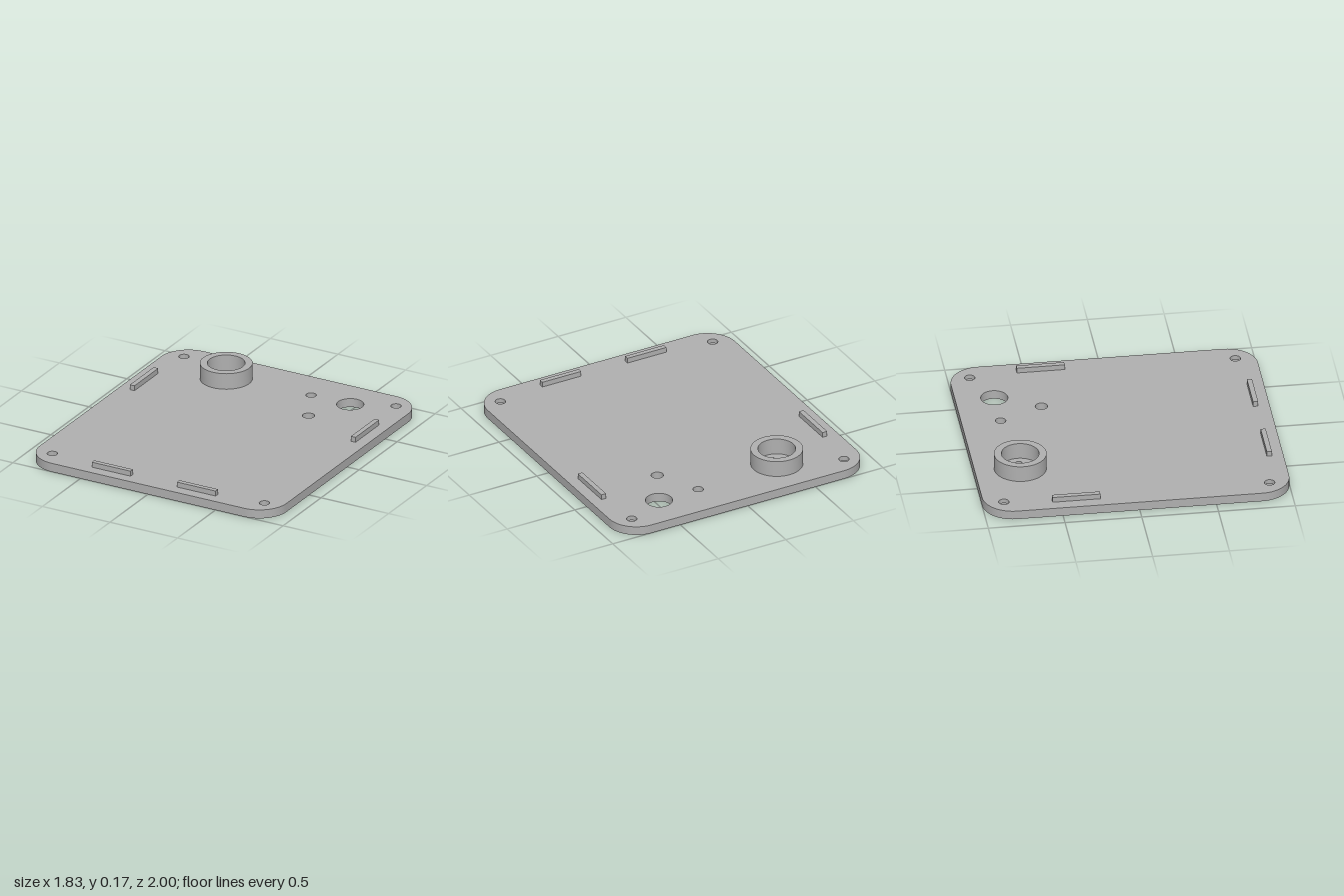
import * as THREE from 'three';
import { toCreasedNormals } from 'three/addons/utils/BufferGeometryUtils.js';

const THICK = 0.06, W = 0.913, L = 1, R = 0.2;

export function createModel() {
  const group = new THREE.Group();
  const grey = new THREE.MeshStandardMaterial({ color: 0xb0b0b0 });
  grey.name = 'grey plastic';

  const add = (name, geometry, x = 0, y = 0, z = 0) => {
    const mesh = new THREE.Mesh(geometry, grey);
    mesh.name = name;
    mesh.position.set(x, y, z);
    group.add(mesh);
  };
  const lathe = (points) => toCreasedNormals(
    new THREE.LatheGeometry(points.map(([r, y]) => new THREE.Vector2(r, y)), 48), 0.6);

  // Screw holes at the corners, counterbored from below
  const screws = [];
  for (const x of [-0.785, 0.785]) for (const z of [-0.868, 0.863]) screws.push([x, z]);
  const boreR = 0.062, screwR = 0.034, boreDepth = 0.03;

  // Through holes: [x, z, radius]
  const sound = [-0.38, -0.704];
  const holes = [
    ...screws.map(([x, z]) => [x, z, boreR]),
    [0.515, -0.746, 0.088], [0.225, -0.746, 0.034], [0.367, -0.46, 0.04],
    ...[[0, 0], [1, 0], [-1, 0], [0, 1], [0, -1]].map(
      ([i, j]) => [sound[0] + i * 0.063, sound[1] + j * 0.063, 0.021]),
  ];

  // Rounded plate; shape y becomes -z
  const shape = new THREE.Shape();
  shape.absarc(W - R, L - R, R, 0, Math.PI / 2);
  shape.absarc(-W + R, L - R, R, Math.PI / 2, Math.PI);
  shape.absarc(-W + R, -L + R, R, Math.PI, Math.PI * 1.5);
  shape.absarc(W - R, -L + R, R, Math.PI * 1.5, Math.PI * 2);
  shape.closePath();
  for (const [x, z, r] of holes) {
    shape.holes.push(new THREE.Path().absarc(x, -z, r, 0, Math.PI * 2, true));
  }
  const plate = new THREE.ExtrudeGeometry(shape, { depth: THICK, bevelEnabled: false, curveSegments: 24 });
  plate.rotateX(-Math.PI / 2);
  add('plate', toCreasedNormals(plate, 0.6));

  // Narrow upper collars left above each counterbore
  for (const [x, z] of screws) {
    add('screwHoleCollar', lathe([
      [boreR, THICK], [screwR, THICK], [screwR, boreDepth], [boreR, boreDepth],
    ]), x, 0, z);
  }

  // Raised ring around the sound holes
  add('soundRing', lathe([[0.17, THICK], [0.17, 0.17], [0.122, 0.17], [0.122, THICK]]),
    sound[0], 0, sound[1]);

  // Locating ribs along the sides and the front edge
  const ribH = 0.035, ribY = THICK + ribH / 2;
  for (const s of [-1, 1]) {
    add('sideRib', new THREE.BoxGeometry(0.034, ribH, 0.312), s * 0.818, ribY, -0.402);
    add('frontRib', new THREE.BoxGeometry(0.287, ribH, 0.033), s * 0.315, ribY, 0.908);
  }
  return group;
}
